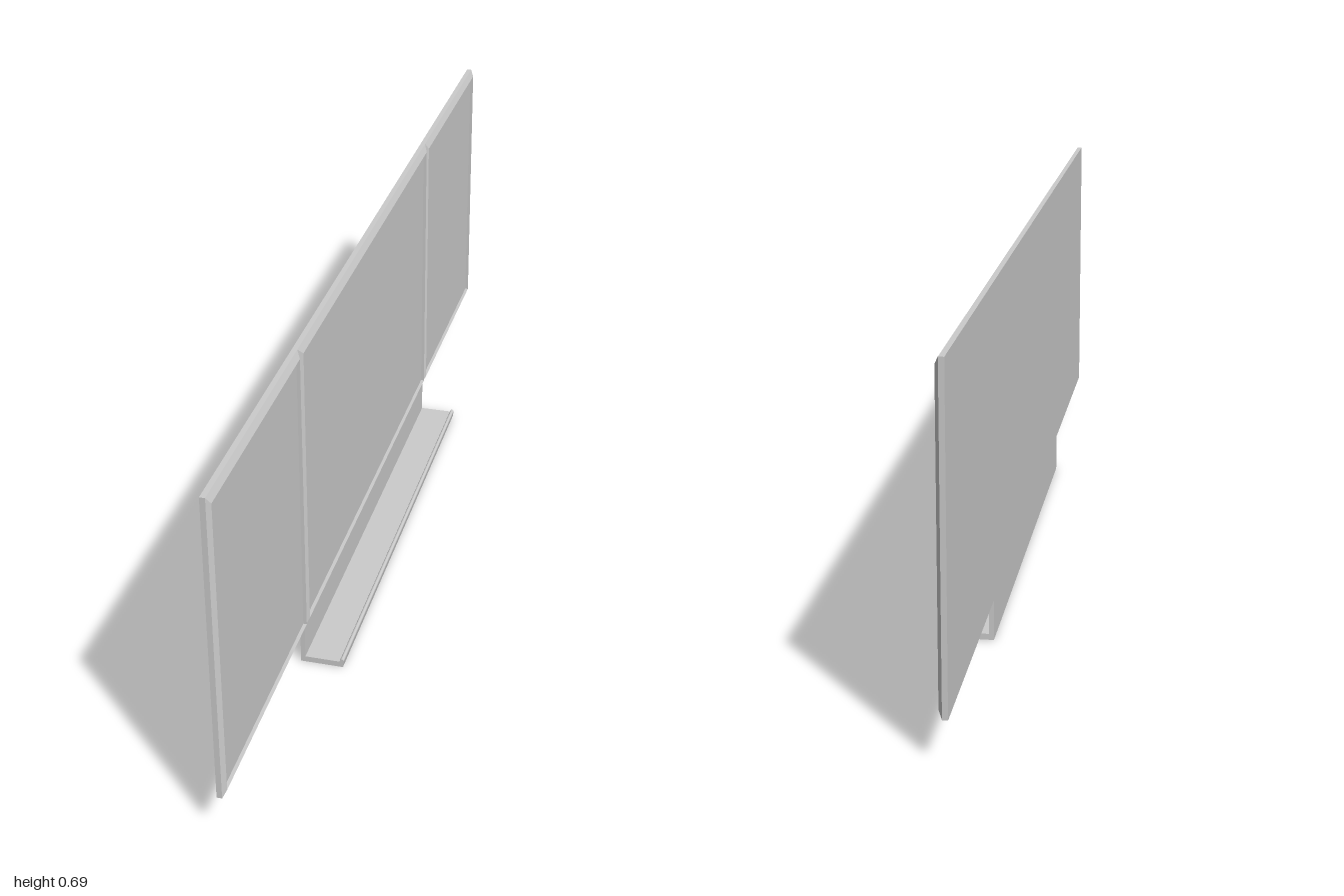
import * as THREE from 'three';

const BACK = -0.045, FACE = -0.035, RIDGE = -0.028;
const BOTTOM = 0.083, TOP = 0.694;

// Panel with a raised bevelled rim, lofted through rectangular rings facing +x
function panelGeometry(z0, z1, rimY, rimZ) {
  const rings = [[BACK, 0], [FACE, 0], [RIDGE, 1], [FACE, 1]].map(([x, k]) => {
    const b = BOTTOM + k * rimY, t = TOP - k * rimY;
    const n = z0 + k * rimZ, f = z1 - k * rimZ;
    return [[x, b, n], [x, t, n], [x, t, f], [x, b, f]];
  });
  const pos = [];
  const quad = (a, b, c, d) => pos.push(...a, ...b, ...c, ...a, ...c, ...d);
  for (let r = 0; r < rings.length - 1; r++) {
    for (let i = 0; i < 4; i++) {
      const j = (i + 1) % 4;
      quad(rings[r][i], rings[r][j], rings[r + 1][j], rings[r + 1][i]);
    }
  }
  quad(...rings[3]);
  quad(...[...rings[0]].reverse());
  const g = new THREE.BufferGeometry();
  g.setAttribute('position', new THREE.Float32BufferAttribute(pos, 3));
  g.computeVertexNormals();
  return g;
}

export function createModel() {
  const group = new THREE.Group();
  const material = new THREE.MeshStandardMaterial({ color: 0xcccccc });
  const add = (name, geometry) => {
    const mesh = new THREE.Mesh(geometry, material);
    mesh.name = name;
    group.add(mesh);
  };

  // Wide centre board and two narrower wings
  add('centreBoard', panelGeometry(-0.5, 0.5, 0.014, 0.014));
  add('leftWing', panelGeometry(0.5, 1, 0.014, 0.008));
  add('rightWing', panelGeometry(-1, -0.5, 0.014, 0.008));

  // Pen tray: L profile with a rounded lip, run along z
  const s = new THREE.Shape();
  s.moveTo(-0.044, 0);
  s.lineTo(0.041, 0);
  s.lineTo(0.043, 0.013);
  s.absarc(0.039, 0.014, 0.004, 0, Math.PI, false);
  s.lineTo(0.034, 0.012);
  s.lineTo(-0.035, 0.012);
  s.lineTo(-0.035, BOTTOM);
  s.lineTo(-0.044, BOTTOM);
  s.closePath();
  const tray = new THREE.ExtrudeGeometry(s, { depth: 1, bevelEnabled: false, curveSegments: 8 });
  tray.translate(0, 0, -0.5);
  add('penTray', tray);

  return group;
}
